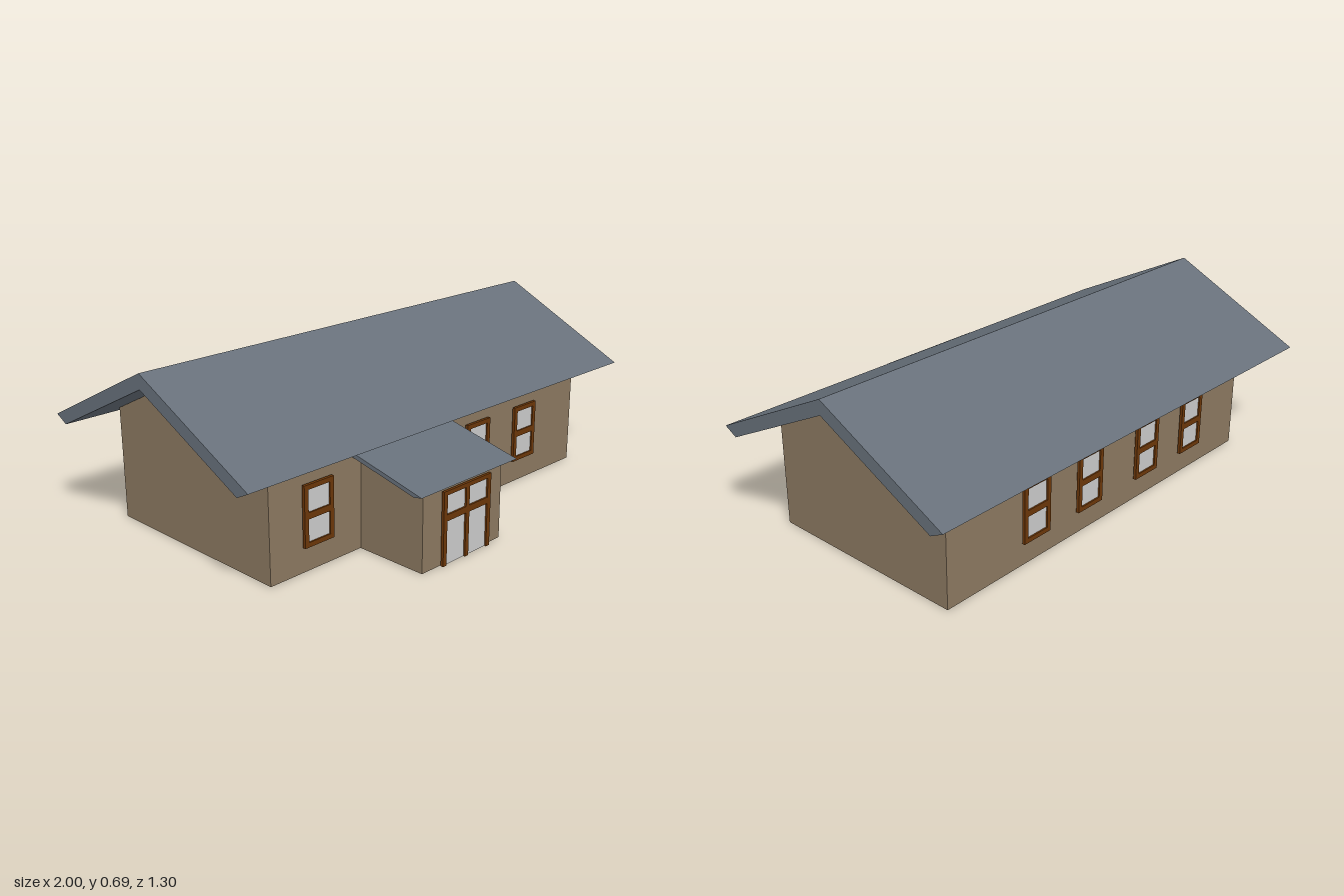
import * as THREE from 'three';

export function createModel() {
  const model = new THREE.Group();
  model.name = 'house';
  const mat = (name, color) => {
    const m = new THREE.MeshStandardMaterial({ color });
    m.name = name;
    return m;
  };
  const wall = mat('tan wall', 0x8b7860);
  const roof = mat('slate roof', 0x67707a);
  const wood = mat('brown wood', 0x6b3608);
  const glass = mat('pale glass', 0xcacaca);

  // Extrude a [z, y] side profile along x from x0 to x1
  function prism(name, material, profile, x0, x1) {
    const shape = new THREE.Shape(profile.map(([z, y]) => new THREE.Vector2(-z, y)));
    const geo = new THREE.ExtrudeGeometry(shape, { depth: x1 - x0, bevelEnabled: false });
    geo.rotateY(Math.PI / 2).translate(x0, 0, 0);
    const mesh = new THREE.Mesh(geo, material);
    mesh.name = name;
    model.add(mesh);
  }

  // Box given by its lower and upper corners
  function box(parent, name, material, x0, x1, y0, y1, z0, z1) {
    const mesh = new THREE.Mesh(new THREE.BoxGeometry(x1 - x0, y1 - y0, z1 - z0), material);
    mesh.position.set((x0 + x1) / 2, (y0 + y1) / 2, (z0 + z1) / 2);
    mesh.name = name;
    parent.add(mesh);
  }

  // Main walls with gables, and the gable roof above
  prism('mainWalls', wall,
    [[0.33, 0], [0.33, 0.415], [-0.105, 0.627], [-0.5, 0.434], [-0.5, 0]], -0.83, 0.845);
  prism('mainRoof', roof,
    [[0.44, 0.416], [0.385, 0.388], [-0.105, 0.628], [-0.595, 0.388], [-0.65, 0.416], [-0.105, 0.685]], -1, 1);

  // Entrance porch with its lean-to roof
  prism('porchWalls', wall, [[0.625, 0], [0.625, 0.291], [0.333, 0.357], [0.333, 0]], -0.41, 0.005);
  prism('porchRoof', roof, [[0.655, 0.299], [0.33, 0.375], [0.33, 0.358], [0.62, 0.292]], -0.45, 0.055);

  // Window: framed pane with one cross bar, centred on x = 0 and facing +z
  function addWindow(x, z, back) {
    const g = new THREE.Group();
    g.name = back ? 'backWindow' : 'frontWindow';
    const w = 0.0675, t = 0.018;
    for (const s of [-1, 1]) {
      const c = s * (w - t / 2);
      box(g, 'windowStile', wood, c - t / 2, c + t / 2, 0.097, 0.325, 0, 0.012);
    }
    for (const y of [0.097, 0.2, 0.307])
      box(g, 'windowRail', wood, -w + t, w - t, y, y + (y === 0.2 ? 0.024 : t), 0, 0.012);
    box(g, 'windowPane', glass, -w + t, w - t, 0.115, 0.307, 0.002, 0.006);
    g.position.set(x, 0, z);
    if (back) g.rotation.y = Math.PI;
    model.add(g);
  }
  for (const x of [-0.622, 0.217, 0.508]) addWindow(x, 0.337, false);
  for (const x of [0.427, 0.137, -0.203, -0.493]) addWindow(x, -0.511, true);

  // Glazed double door
  const door = new THREE.Group();
  door.name = 'frontDoor';
  for (const x of [-0.311, -0.195, -0.079])
    box(door, 'doorStile', wood, x - 0.009, x + 0.009, 0, 0.278, 0.63, 0.641);
  for (const [y0, y1] of [[0.166, 0.19], [0.262, 0.278]])
    for (const x of [-0.253, -0.137])
      box(door, 'doorRail', wood, x - 0.049, x + 0.049, y0, y1, 0.63, 0.641);
  box(door, 'doorPane', glass, -0.305, -0.085, 0, 0.27, 0.627, 0.634);
  model.add(door);

  return model;
}
